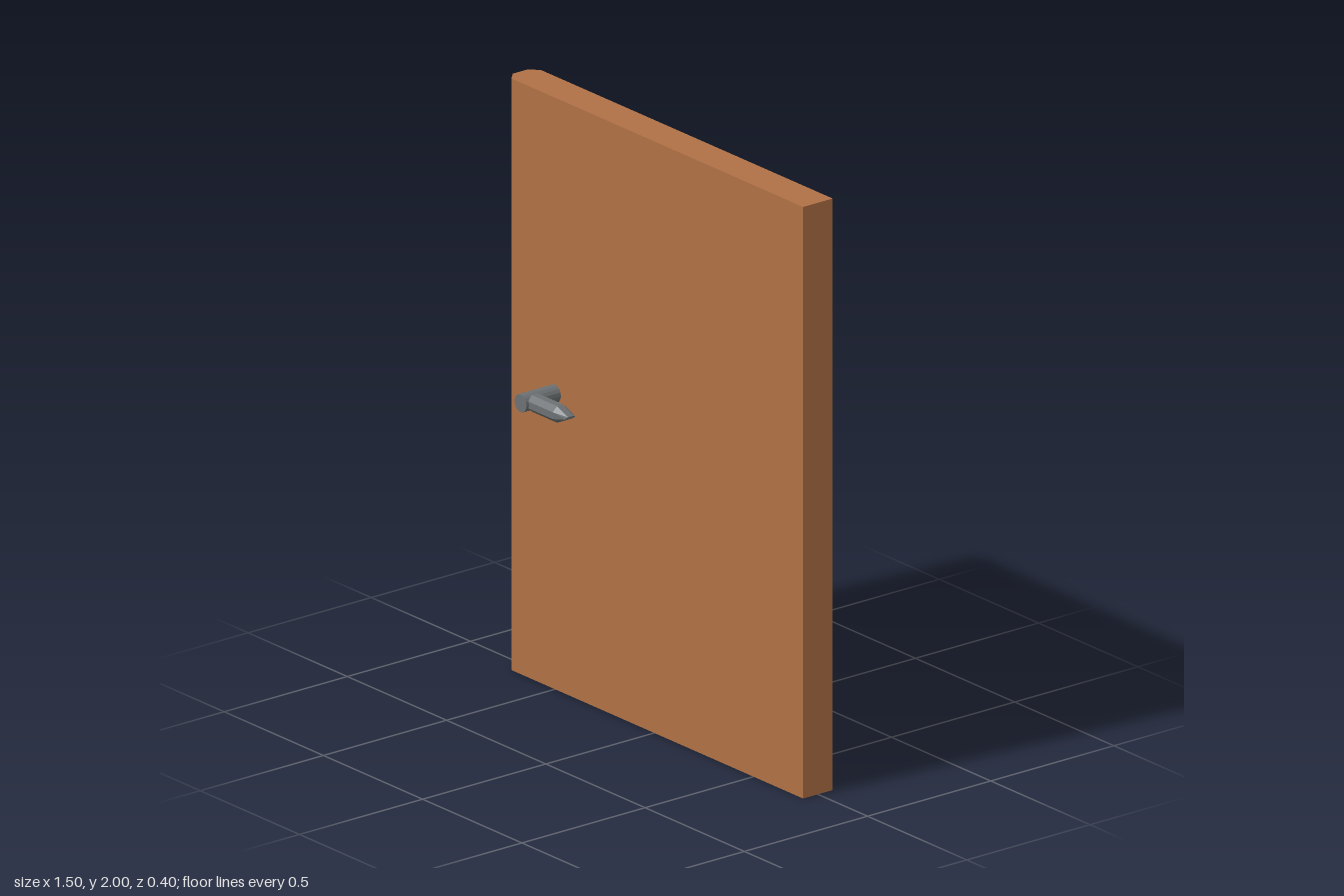
import * as THREE from 'three';

const wood = new THREE.MeshStandardMaterial({ color: 0xb07145, flatShading: true });
wood.name = 'wood';
const metal = new THREE.MeshStandardMaterial({ color: 0x6c7173, flatShading: true });
metal.name = 'metal';

function add(parent, name, geometry, material) {
  const mesh = new THREE.Mesh(geometry, material);
  mesh.name = name;
  parent.add(mesh);
  return mesh;
}

// Closed eight-sided loft along x; each station is [x, halfHeight, halfDepth]
function loft(stations, sides = 8) {
  const positions = [];
  const index = [];
  for (const [x, h, d] of stations) {
    for (let i = 0; i < sides; i++) {
      const a = ((i + 0.5) / sides) * Math.PI * 2;
      const k = 1 / Math.cos(Math.PI / sides);
      positions.push(x, Math.cos(a) * h * k, Math.sin(a) * d * k);
    }
  }
  for (let s = 0; s < stations.length - 1; s++) {
    for (let i = 0; i < sides; i++) {
      const a = s * sides + i;
      const b = s * sides + ((i + 1) % sides);
      index.push(a, b, a + sides, b, b + sides, a + sides);
    }
  }
  const last = (stations.length - 1) * sides;
  for (let i = 1; i < sides - 1; i++) {
    index.push(0, i + 1, i, last, last + i, last + i + 1);
  }
  const geometry = new THREE.BufferGeometry();
  geometry.setAttribute('position', new THREE.Float32BufferAttribute(positions, 3));
  geometry.setIndex(index);
  const flat = geometry.toNonIndexed();
  flat.computeVertexNormals();
  return flat;
}

export function createModel() {
  const door = new THREE.Group();
  door.name = 'door';

  // Slab with a bevelled latch edge, extruded upward
  const outline = new THREE.Shape([
    [-0.75, -0.03], [-0.72, -0.06], [0.75, -0.06],
    [0.75, 0.06], [-0.72, 0.06], [-0.75, 0.03],
  ].map(([x, z]) => new THREE.Vector2(x, z)));
  const slab = new THREE.ExtrudeGeometry(outline, { depth: 2, bevelEnabled: false });
  slab.rotateX(-Math.PI / 2);
  add(door, 'doorPanel', slab, wood);

  // Spindle running through the door
  const spindle = new THREE.CylinderGeometry(0.03, 0.03, 0.4, 16);
  spindle.rotateX(Math.PI / 2);
  add(door, 'handleSpindle', spindle, metal).position.set(-0.5, 1, 0);

  // Tapered lever on each face
  const lever = loft([
    [-0.5, 0.022, 0.022],
    [-0.475, 0.028, 0.03],
    [-0.35, 0.028, 0.03],
    [-0.3, 0.004, 0.02],
  ]);
  for (const [name, z] of [['frontLever', 0.16], ['backLever', -0.16]]) {
    add(door, name, lever, metal).position.set(0, 1, z);
  }
  return door;
}
